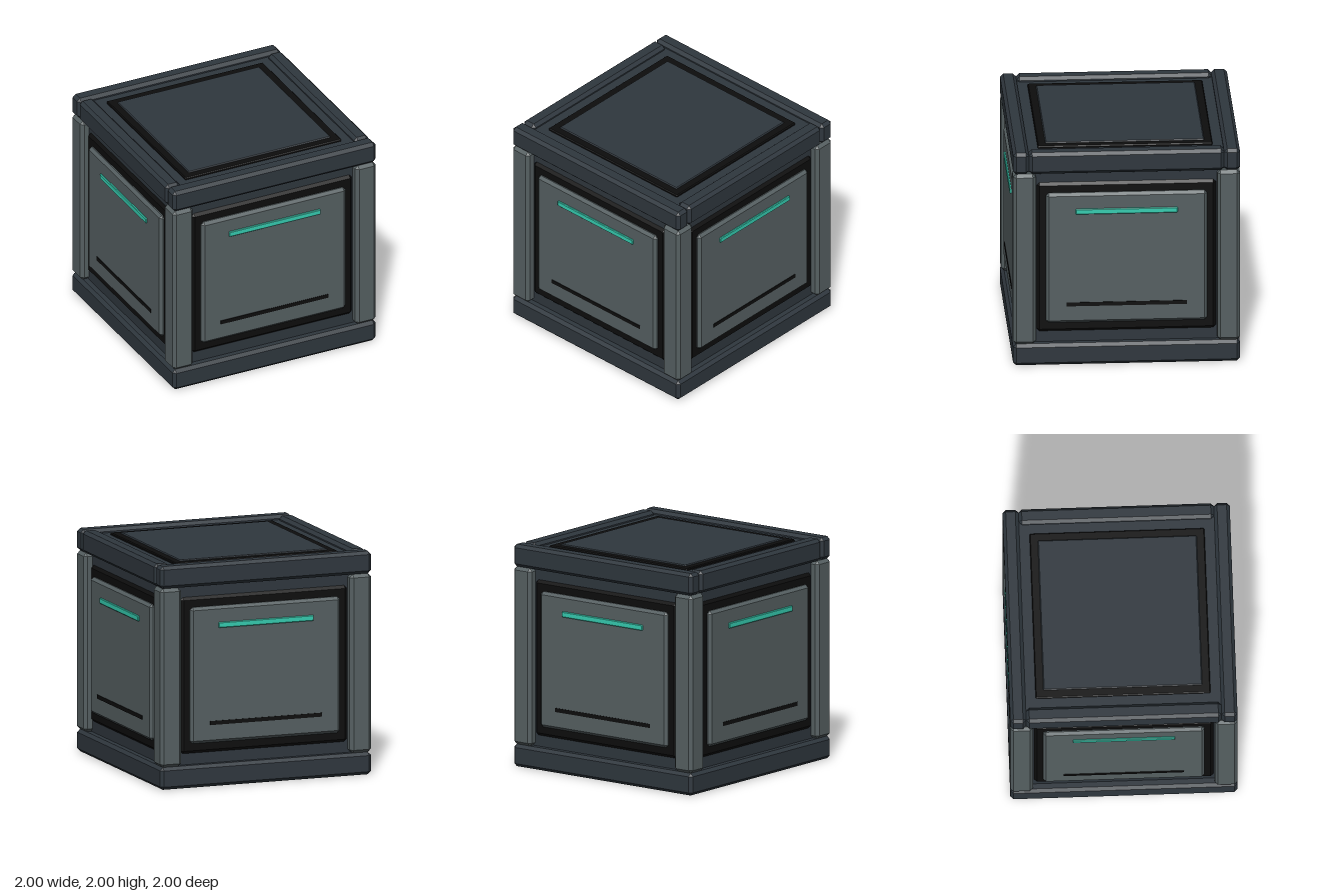
import * as THREE from 'three';
import { ConvexGeometry } from 'three/addons/geometries/ConvexGeometry.js';

const material = (name, color) => {
  const m = new THREE.MeshStandardMaterial({ color });
  m.name = name;
  return m;
};

// Box with flat chamfers of width c on every edge.
function chamferBox(w, h, d, c) {
  const points = [];
  for (const sx of [-1, 1]) for (const sy of [-1, 1]) for (const sz of [-1, 1]) {
    for (let axis = 0; axis < 3; axis++) {
      const inset = [c, c, c];
      inset[axis] = 0;
      points.push(new THREE.Vector3(
        sx * (w / 2 - inset[0]), sy * (h / 2 - inset[1]), sz * (d / 2 - inset[2])));
    }
  }
  return new ConvexGeometry(points);
}

export function createModel() {
  const darkMetal = material('dark metal', 0x2f373e);
  const greyMetal = material('grey metal', 0x566062);
  const black = material('black', 0x0d0d0d);
  const teal = material('teal light', 0x36cdb1);

  const crate = new THREE.Group();
  crate.name = 'crate';

  function add(parent, name, geometry, mat, x, y, z) {
    const mesh = new THREE.Mesh(geometry, mat);
    mesh.name = name;
    mesh.position.set(x, y, z);
    parent.add(mesh);
    return mesh;
  }

  // Body and base slab
  add(crate, 'core', new THREE.BoxGeometry(1.85, 1.86, 1.85), darkMetal, 0, 1.03, 0);
  add(crate, 'base', chamferBox(2, 0.2, 2, 0.028), darkMetal, 0, 0.1, 0);

  // Corner posts
  const post = chamferBox(0.2, 1.6, 0.2, 0.028);
  for (const x of [-0.9, 0.9]) for (const z of [-0.9, 0.9]) {
    add(crate, 'cornerPost', post, greyMetal, x, 1, z);
  }

  // Top rails: long ones at front and back, short ones between them
  const longRail = chamferBox(2, 0.2, 0.14, 0.028);
  const sideRail = chamferBox(0.14, 0.2, 1.72, 0.028);
  for (const s of [-1, 1]) {
    add(crate, 'longTopRail', longRail, darkMetal, 0, 1.9, s * 0.93);
    add(crate, 'sideTopRail', sideRail, darkMetal, s * 0.93, 1.9, 0);
  }

  // Lid with its black surround
  add(crate, 'lidSurround', chamferBox(1.54, 0.04, 1.54, 0.008), black, 0, 1.96, 0);
  add(crate, 'lidPlate', chamferBox(1.4, 0.03, 1.4, 0.008), darkMetal, 0, 1.975, 0);

  // Four identical side panels
  const frame = chamferBox(1.58, 1.4, 0.07, 0.025);
  const plate = chamferBox(1.42, 1.22, 0.08, 0.025);
  const lightBar = chamferBox(0.9, 0.05, 0.03, 0.006);
  const slot = new THREE.BoxGeometry(1.06, 0.035, 0.008);
  for (let i = 0; i < 4; i++) {
    const side = new THREE.Group();
    side.name = 'sidePanel';
    side.rotation.y = i * Math.PI / 2;
    add(side, 'panelFrame', frame, black, 0, 1, 0.915);
    add(side, 'panelPlate', plate, greyMetal, 0, 1, 0.945);
    add(side, 'lightBar', lightBar, teal, 0, 1.442, 0.985);
    add(side, 'slot', slot, black, 0, 0.568, 0.986);
    crate.add(side);
  }

  return crate;
}
